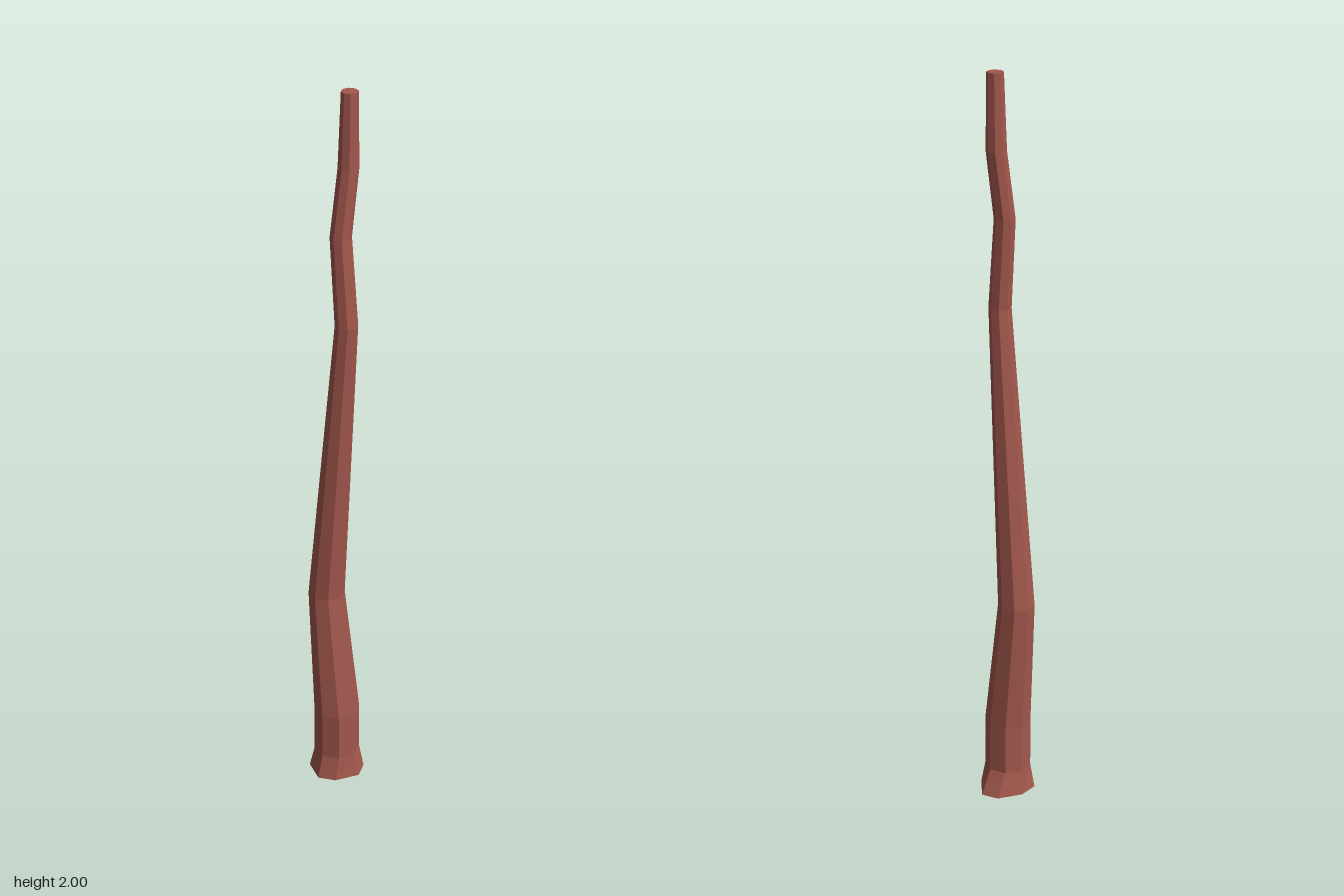
import * as THREE from 'three';

const SIDES = 8;

// Octagonal ring with corners on the axes, counter-clockwise seen from above
function ring(y, cx, cz, r) {
  return Array.from({ length: SIDES }, (_, i) => {
    const a = (i / SIDES) * Math.PI * 2;
    return [cx + r * Math.cos(a), y, cz - r * Math.sin(a)];
  });
}

// Skin consecutive rings, with optional caps
function loft(rings, capBottom, capTop) {
  const pos = [];
  const tri = (a, b, c) => pos.push(...a, ...b, ...c);
  for (let k = 0; k < rings.length - 1; k++) {
    const lo = rings[k], hi = rings[k + 1];
    for (let i = 0; i < SIDES; i++) {
      const j = (i + 1) % SIDES;
      tri(lo[i], lo[j], hi[j]);
      tri(lo[i], hi[j], hi[i]);
    }
  }
  const first = rings[0], last = rings[rings.length - 1];
  for (let i = 1; i < SIDES - 1; i++) {
    if (capBottom) tri(first[0], first[i + 1], first[i]);
    if (capTop) tri(last[0], last[i], last[i + 1]);
  }
  const geo = new THREE.BufferGeometry();
  geo.setAttribute('position', new THREE.Float32BufferAttribute(pos, 3));
  geo.computeVertexNormals();
  return geo;
}

export function createModel() {
  const group = new THREE.Group();
  group.name = 'crookedTrunk';
  const bark = new THREE.MeshStandardMaterial({ color: 0xa3584d });
  bark.name = 'reddish brown bark';

  // Uneven flared foot
  const foot = [
    [0.087, -0.002], [0.066, -0.046], [0.0, -0.07], [-0.054, -0.057],
    [-0.087, 0.002], [-0.066, 0.047], [-0.005, 0.08], [0.04, 0.06],
  ].map(([x, z]) => [x, 0, z]);
  const collar = ring(0.065, -0.008, 0.003, 0.062);
  const base = new THREE.Mesh(loft([foot, collar], true, false), bark);
  base.name = 'flaredBase';

  // Bent, tapering stem: height, centre x, centre z, radius
  const bends = [
    [0.2, -0.008, 0.003, 0.062],
    [0.56, -0.008, -0.033, 0.049],
    [1.38, -0.007, 0.034, 0.03],
    [1.62, -0.008, 0.016, 0.028],
    [1.8, 0.014, 0.022, 0.027],
    [2.0, 0.015, 0.025, 0.022],
  ].map((b) => ring(...b));
  const stem = new THREE.Mesh(loft([collar, ...bends], false, true), bark);
  stem.name = 'stem';

  group.add(base, stem);
  return group;
}
